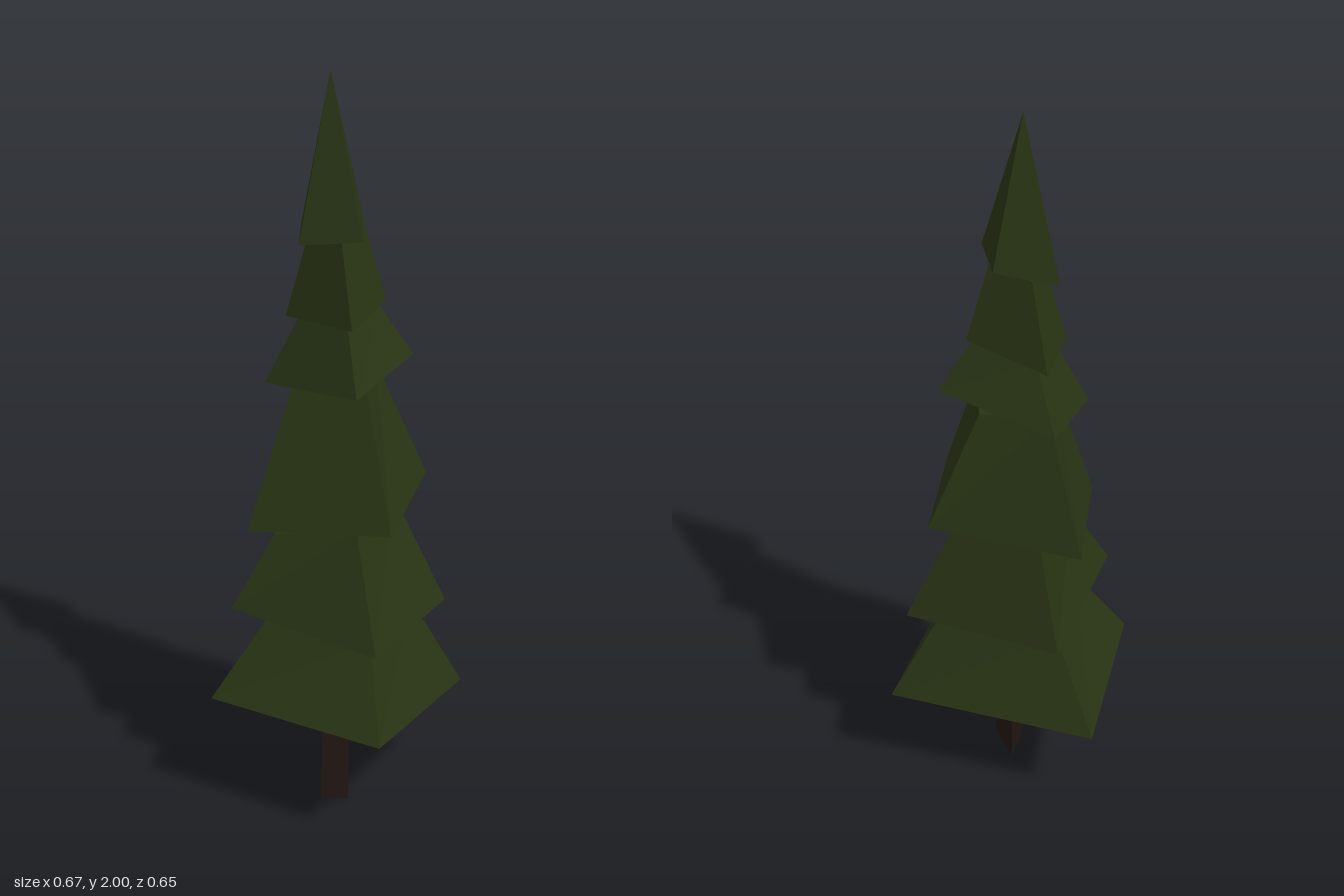
import * as THREE from 'three';

const foliage = new THREE.MeshStandardMaterial({ color: 0x28341a, flatShading: true, side: THREE.DoubleSide });
foliage.color.set(0x283414);
const bark = new THREE.MeshStandardMaterial({ color: 0x211614, flatShading: true, side: THREE.DoubleSide });

// Joins a bottom ring of corners to a top ring (or a single apex); corners run counter-clockwise from above
function loft(bottom, top) {
  const n = bottom.length;
  const pos = [];
  const tri = (...corners) => corners.forEach((c) => pos.push(...c));
  for (let i = 0; i < n; i++) {
    const j = (i + 1) % n;
    if (top.length === 1) {
      tri(bottom[i], bottom[j], top[0]);
    } else {
      tri(bottom[i], bottom[j], top[j]);
      tri(bottom[i], top[j], top[i]);
    }
  }
  // Close the top, leave the underside open
  for (let i = 1; i < top.length - 1; i++) tri(top[0], top[i], top[i + 1]);
  const geometry = new THREE.BufferGeometry();
  geometry.setAttribute('position', new THREE.Float32BufferAttribute(pos, 3));
  geometry.computeVertexNormals();
  return geometry;
}

// Crooked skirts of branches, lowest first: corners left, front, right, back
const tiers = [
  {
    bottom: [[-0.333, 0.325, 0.09], [0.135, 0.325, 0.323], [0.333, 0.295, -0.127], [-0.193, 0.27, -0.327]],
    top: [[-0.185, 0.545, 0.04], [0.1, 0.548, 0.16], [0.195, 0.54, -0.105], [-0.11, 0.525, -0.215]],
  },
  {
    bottom: [[-0.276, 0.585, 0.065], [0.12, 0.552, 0.26], [0.285, 0.55, -0.108], [-0.1, 0.555, -0.313]],
    top: [[-0.165, 0.785, 0.02], [0.06, 0.845, 0.115], [0.14, 0.86, -0.105], [-0.06, 0.83, -0.22]],
  },
  {
    bottom: [[-0.229, 0.815, 0.07], [0.153, 0.86, 0.178], [0.225, 0.89, -0.186], [-0.16, 0.83, -0.278]],
    top: [[-0.115, 1.2, -0.01], [0.075, 1.22, 0.035], [0.09, 1.21, -0.16], [-0.08, 1.225, -0.215]],
  },
  {
    bottom: [[-0.195, 1.18, -0.066], [0.06, 1.215, 0.138], [0.19, 1.255, -0.11], [-0.088, 1.205, -0.285]],
    top: [[-0.105, 1.36, -0.07], [0.03, 1.38, 0.045], [0.1, 1.39, -0.1], [-0.05, 1.37, -0.19]],
  },
  {
    bottom: [[-0.138, 1.365, -0.066], [0.043, 1.375, 0.072], [0.117, 1.4, -0.115], [-0.072, 1.36, -0.236]],
    top: [[-0.08, 1.58, -0.085], [0.01, 1.6, 0], [0.06, 1.61, -0.115], [-0.04, 1.59, -0.175]],
  },
  {
    bottom: [[-0.097, 1.575, 0], [0.067, 1.593, 0.021], [0.054, 1.61, -0.159], [-0.108, 1.575, -0.178]],
    top: [[-0.024, 2, -0.098]],
  },
];

export function createModel() {
  const tree = new THREE.Group();
  tree.name = 'pineTree';

  // Leaning three-sided trunk
  const trunk = new THREE.Mesh(
    loft(
      [[-0.042, 0, 0.042], [0.033, 0, 0.042], [0, 0, -0.075]],
      [[-0.03, 1.3, -0.075], [0.04, 1.3, -0.075], [0.005, 1.3, -0.18]],
    ),
    bark,
  );
  trunk.name = 'trunk';
  tree.add(trunk);

  // Trunk base
  const base = new THREE.Mesh(loft([[0, 0, -0.075], [0.033, 0, 0.042], [-0.042, 0, 0.042]], [[0, 0, 0]]), bark);
  base.name = 'trunkBase';
  tree.add(base);

  // Branch tiers up to the pointed tip
  tiers.forEach(({ bottom, top }, i) => {
    const tier = new THREE.Mesh(loft(bottom, top), foliage);
    tier.name = top.length === 1 ? 'treeTip' : `branchTier${i + 1}`;
    tree.add(tier);
  });

  return tree;
}
